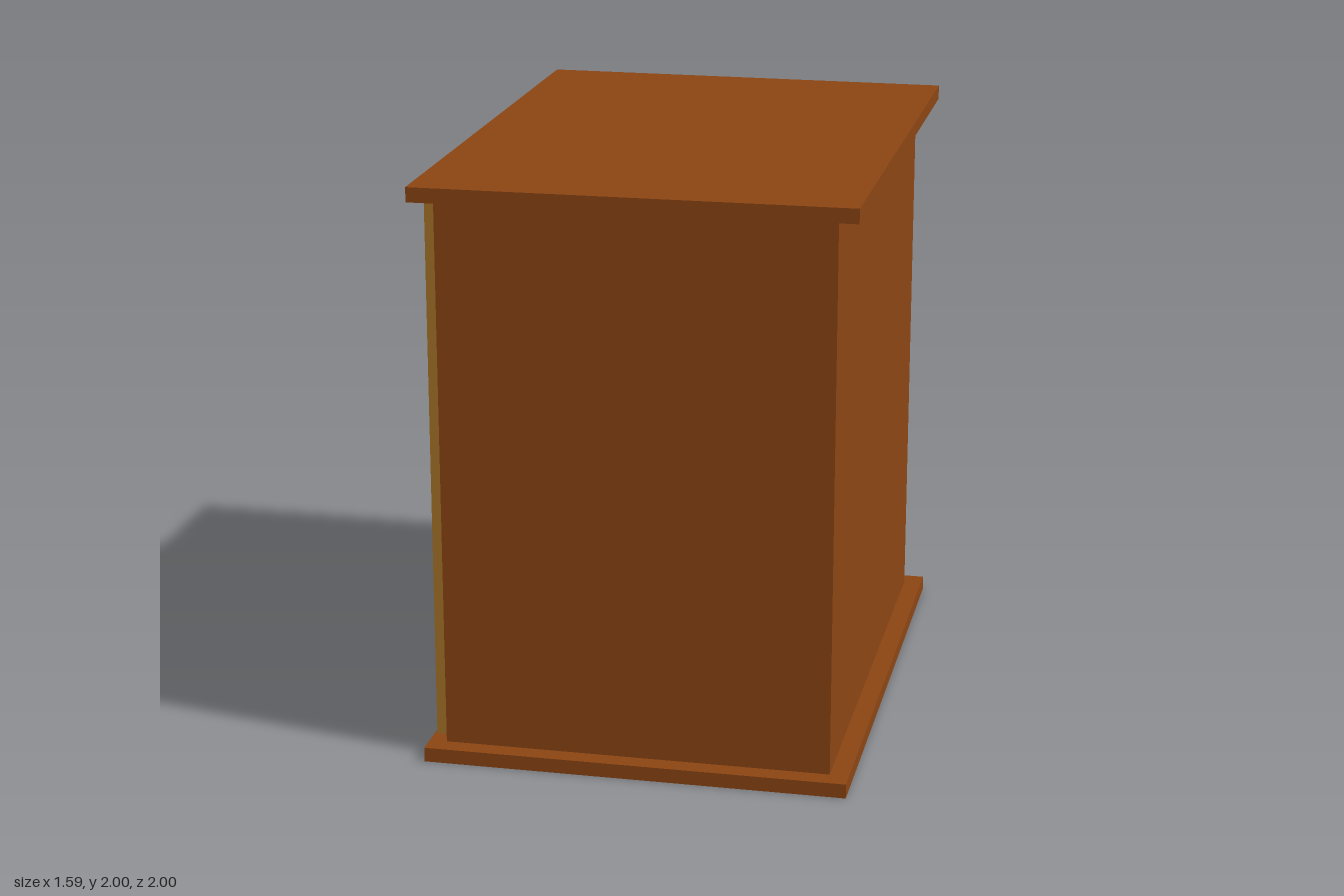
import * as THREE from 'three';

const wood = new THREE.MeshStandardMaterial({ color: 0x8b4513, flatShading: true });
const doorWood = new THREE.MeshStandardMaterial({ color: 0xa67428, flatShading: true });
const brass = new THREE.MeshStandardMaterial({ color: 0xd4a017, flatShading: true });

function add(parent, name, geometry, material) {
  const mesh = new THREE.Mesh(geometry, material);
  mesh.name = name;
  parent.add(mesh);
  return mesh;
}

// Box given by its limits on each axis
function slab([x0, x1], [y0, y1], [z0, z1]) {
  return new THREE.BoxGeometry(x1 - x0, y1 - y0, z1 - z0)
    .translate((x0 + x1) / 2, (y0 + y1) / 2, (z0 + z1) / 2);
}

// Widens the -x end in z, by separate amounts at the bottom and the top
function widenDoorEnd(geometry, bottom, top) {
  geometry.computeBoundingBox();
  const { min, max } = geometry.boundingBox;
  const p = geometry.attributes.position;
  for (let i = 0; i < p.count; i++) {
    const t = (max.x - p.getX(i)) / (max.x - min.x);
    const v = (p.getY(i) - min.y) / (max.y - min.y);
    p.setZ(i, p.getZ(i) + Math.sign(p.getZ(i)) * t * (bottom + (top - bottom) * v));
  }
  geometry.computeVertexNormals();
  return geometry;
}

export function createModel() {
  const cabinet = new THREE.Group();
  cabinet.name = 'cabinet';

  // Carcass between two overhanging boards
  add(cabinet, 'basePlate', slab([-0.66, 0.785], [0, 0.05], [-0.99, 0.99]), wood);
  add(cabinet, 'carcass',
    widenDoorEnd(slab([-0.6, 0.72], [0.05, 1.95], [-0.922, 0.922]), 0, 0.006), wood);
  add(cabinet, 'topPlate',
    widenDoorEnd(slab([-0.67, 0.795], [1.95, 2], [-0.99, 0.99]), 0.01, 0.01), wood);

  // Two doors on the -x side, each with a knob near the middle gap
  const doors = [
    { name: 'rightDoor', z: [-0.87, -0.06], knobZ: -0.21 },
    { name: 'leftDoor', z: [0.045, 0.865], knobZ: 0.18 },
  ];
  for (const { name, z, knobZ } of doors) {
    const door = new THREE.Group();
    door.name = name;
    add(door, 'doorPanel', slab([-0.65, -0.6], [0.05, 1.95], z), doorWood);

    const stem = add(door, 'knobStem', new THREE.CylinderGeometry(0.013, 0.013, 0.09, 8), brass);
    stem.rotation.z = Math.PI / 2;
    stem.position.set(-0.69, 0.99, knobZ);

    const knob = add(door, 'knob', new THREE.SphereGeometry(0.054, 10, 10), brass);
    knob.position.set(-0.745, 0.99, knobZ);
    cabinet.add(door);
  }
  return cabinet;
}
